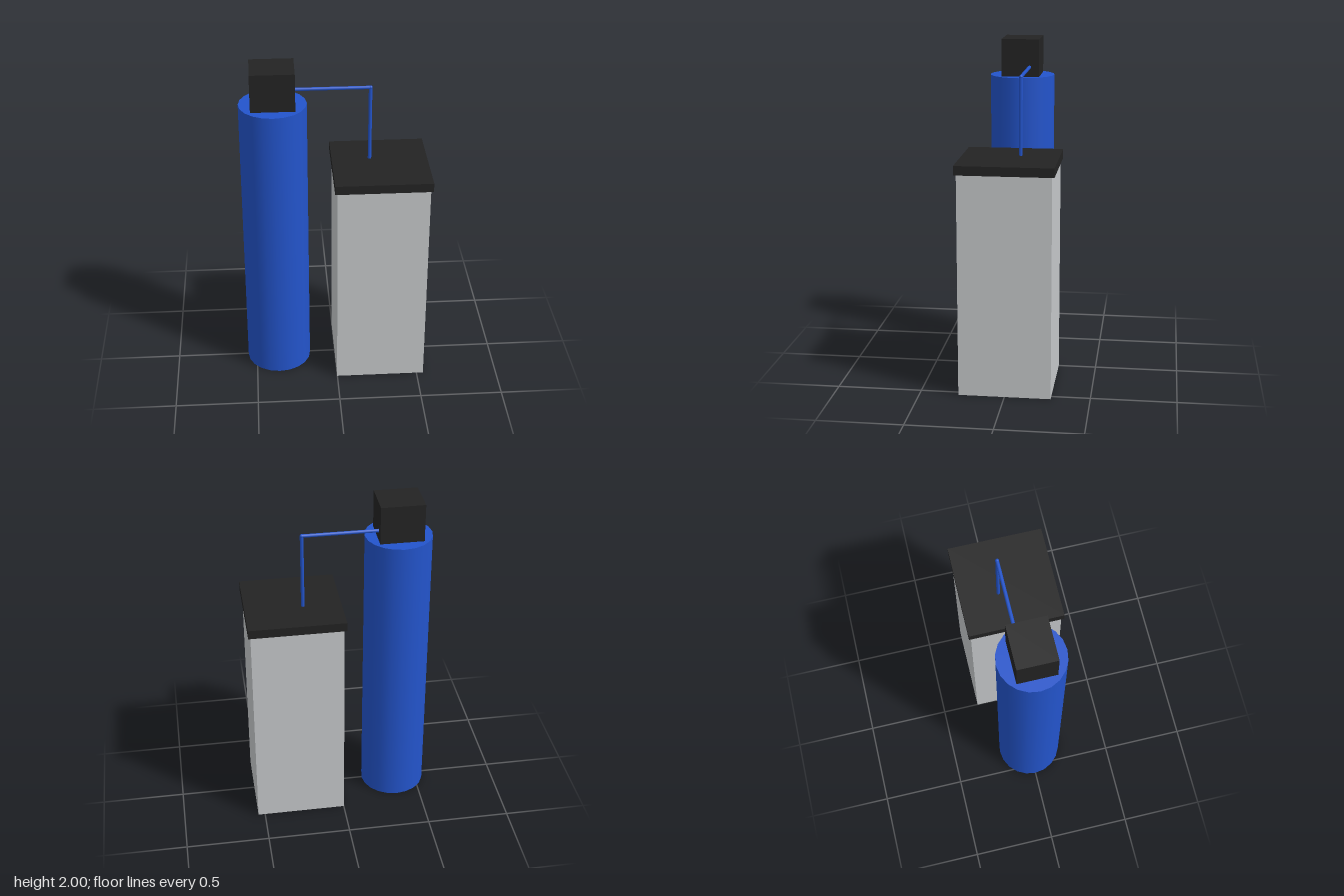
import * as THREE from 'three';

export function createModel() {
  const model = new THREE.Group();
  const mat = (name, color) => {
    const m = new THREE.MeshStandardMaterial({ color });
    m.name = name;
    return m;
  };
  const blue = mat('blue', 0x2354cb);
  const grey = mat('light grey', 0xc6c9cb);
  const black = mat('black', 0x232323);

  const add = (name, geometry, material, x, y, z = 0) => {
    const mesh = new THREE.Mesh(geometry, material);
    mesh.name = name;
    mesh.position.set(x, y, z);
    model.add(mesh);
    return mesh;
  };

  // Tall tank with its control head
  const tankX = -0.358, tankTop = 1.772;
  add('tank', new THREE.CylinderGeometry(0.198, 0.198, tankTop, 20), blue, tankX, tankTop / 2);
  add('controlHead', new THREE.BoxGeometry(0.257, 2 - tankTop, 0.23), black, tankX, (2 + tankTop) / 2);

  // Square cabinet with an overhanging lid
  const cabinetX = 0.27, lidBottom = 1.318, lidTop = 1.372;
  add('cabinet', new THREE.BoxGeometry(0.543, lidBottom, 0.543), grey, cabinetX, lidBottom / 2);
  add('lid', new THREE.BoxGeometry(0.57, lidTop - lidBottom, 0.57), black, cabinetX, (lidBottom + lidTop) / 2);

  // Pipe from the head across and down into the lid, with a rounded elbow
  const r = 0.0105, pipeY = 1.831, pipeZ = -0.057, startX = -0.235, endX = 0.212;
  const pipe = (length) => new THREE.CylinderGeometry(r, r, length, 8);
  add('horizontalPipe', pipe(endX - startX), blue, (startX + endX) / 2, pipeY, pipeZ).rotation.z = Math.PI / 2;
  add('verticalPipe', pipe(pipeY - lidTop + 0.01), blue, endX, (pipeY + lidTop - 0.01) / 2, pipeZ);
  add('pipeElbow', new THREE.SphereGeometry(0.0115, 10, 8), blue, endX, pipeY, pipeZ);

  return model;
}
